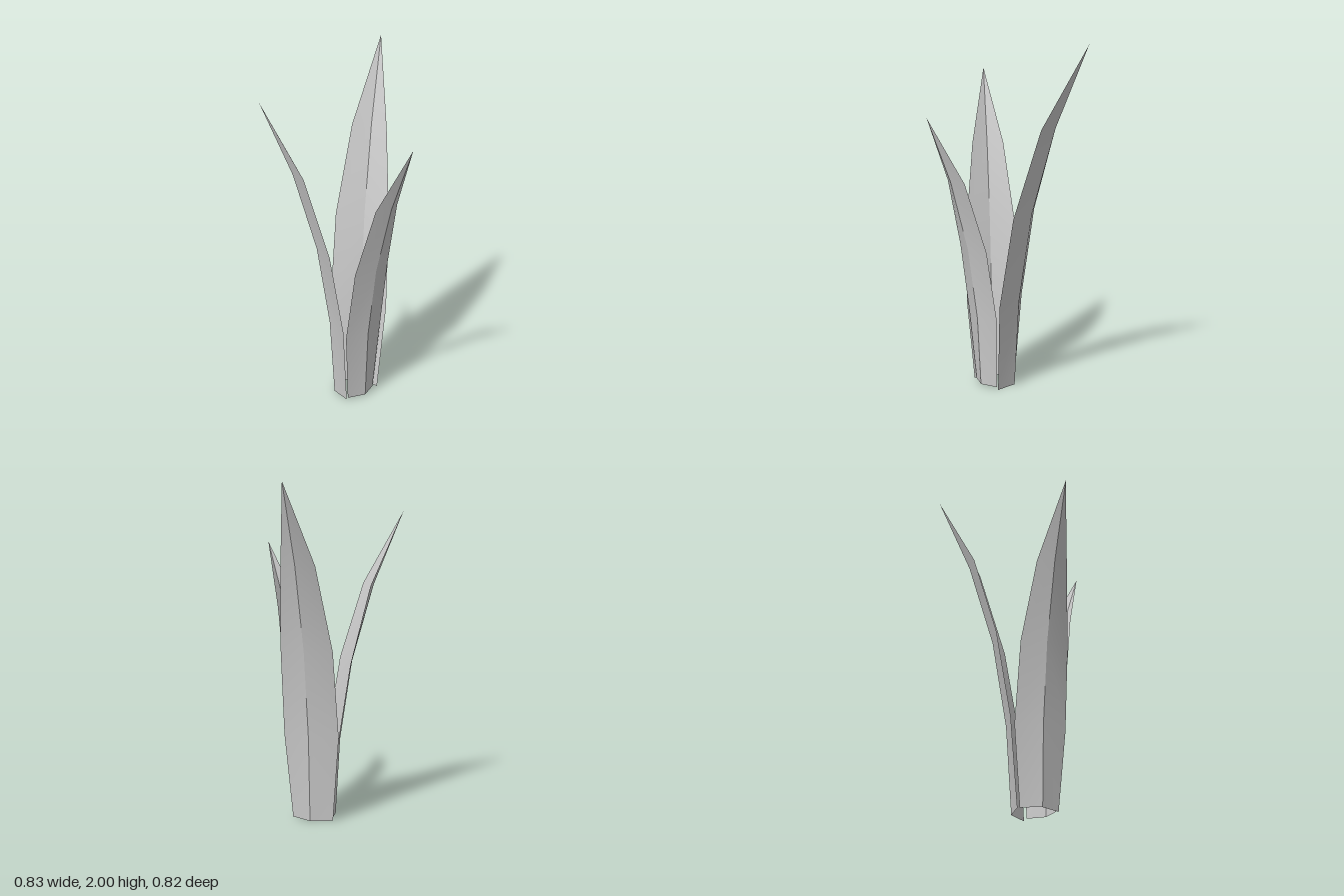
import * as THREE from 'three';

// Cross-sections from base to tip: height, z of the fold, half width, fold depth
const SECTIONS = [
  [0.0, 0.03, 0.125, 0.052],
  [0.51, 0.002, 0.168, 0.051],
  [1.03, -0.076, 0.158, 0.047],
  [1.53, -0.217, 0.102, 0.046],
  [2.0, -0.41, 0, 0],
];

// One folded blade leaning towards -z; each half is smooth, the fold stays sharp
function bladeGeometry() {
  const pos = [], idx = [];
  for (const side of [-1, 1]) {
    const start = pos.length / 3;
    for (const [y, z, w, d] of SECTIONS) pos.push(0, y, z, side * w, y, z + d);
    for (let i = 0; i < SECTIONS.length - 1; i++) {
      const a = start + i * 2, b = a + 1, c = a + 2, e = a + 3;
      const last = i === SECTIONS.length - 2;
      if (side > 0) idx.push(a, b, c);
      else idx.push(a, c, b);
      if (!last) {
        if (side > 0) idx.push(b, e, c);
        else idx.push(b, c, e);
      }
    }
  }
  const g = new THREE.BufferGeometry();
  g.setAttribute('position', new THREE.Float32BufferAttribute(pos, 3));
  g.setIndex(idx);
  g.computeVertexNormals();
  return g;
}

export function createModel() {
  const group = new THREE.Group();
  group.name = 'plant';
  const geometry = bladeGeometry();
  const material = new THREE.MeshStandardMaterial({ color: 0xcccccc, side: THREE.DoubleSide });

  // Three blades around a centre, each smaller than the last
  const blades = [
    ['backLeaf', 1, 0, [0.024, 0, 0]],
    ['rightLeaf', 0.9, 1, [-0.097, 0.005, 0.227]],
    ['leftLeaf', 0.8, -1, [0.133, 0.007, 0.219]],
  ];
  for (const [name, scale, turn, p] of blades) {
    const leaf = new THREE.Mesh(geometry, material);
    leaf.name = name;
    leaf.scale.setScalar(scale);
    leaf.rotation.y = (turn * Math.PI * 2) / 3;
    leaf.position.set(...p);
    group.add(leaf);
  }
  return group;
}
